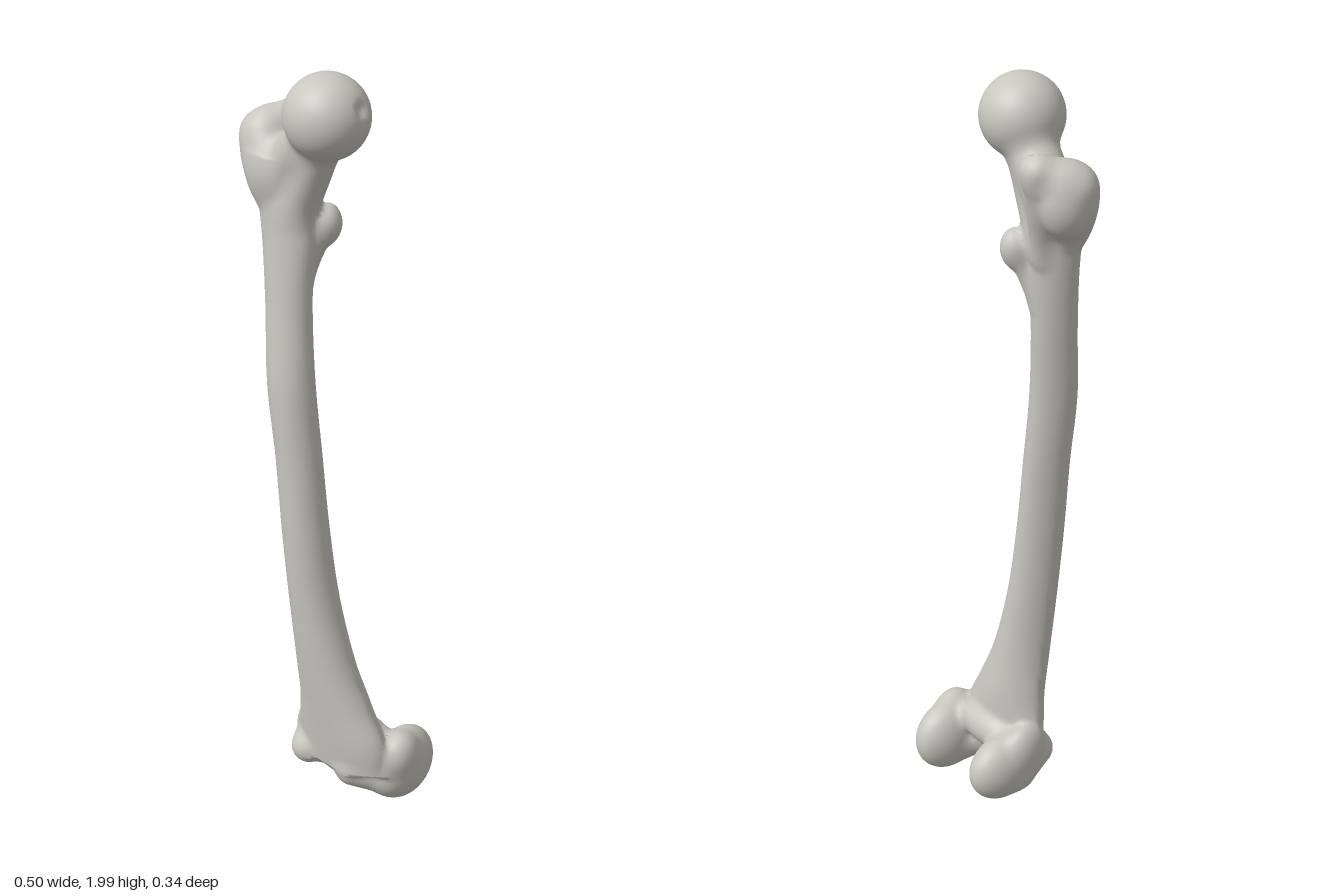
import * as THREE from 'three';
import { mergeVertices } from 'three/addons/utils/BufferGeometryUtils.js';

// ---- Distance helpers: each returns a function (x, y, z) => signed distance ----
const ellipsoid = (cx, cy, cz, rx, ry, rz) => (x, y, z) => {
  const X = (x - cx) / rx, Y = (y - cy) / ry, Z = (z - cz) / rz;
  const k0 = Math.hypot(X, Y, Z), k1 = Math.hypot(X / rx, Y / ry, Z / rz);
  return k1 < 1e-6 ? -Math.min(rx, ry, rz) : k0 * (k0 - 1) / k1;
};
const ball = (cx, cy, cz, r) => (x, y, z) => Math.hypot(x - cx, y - cy, z - cz) - r;
const capsule = (a, b, r0, r1 = r0) => {
  const d = b.map((v, i) => v - a[i]);
  const len2 = d[0] * d[0] + d[1] * d[1] + d[2] * d[2];
  return (x, y, z) => {
    const px = x - a[0], py = y - a[1], pz = z - a[2];
    const t = Math.min(1, Math.max(0, (px * d[0] + py * d[1] + pz * d[2]) / len2));
    return Math.hypot(px - t * d[0], py - t * d[1], pz - t * d[2]) - r0 - t * (r1 - r0);
  };
};
const blend = (a, b, k) => {
  const h = Math.max(0, k - Math.abs(a - b)) / k;
  return Math.min(a, b) - h * h * k / 4;
};

// ---- Shaft: oval sections, height then right, left, back and front limits ----
const sections = [
  [0.12, -0.075, 0.20, -0.03, 0.09],
  [0.20, -0.08, 0.195, -0.04, 0.10],
  [0.30, -0.068, 0.15, -0.035, 0.11],
  [0.40, -0.066, 0.11, -0.02, 0.12],
  [0.60, -0.075, 0.06, 0.0, 0.132],
  [0.80, -0.088, 0.035, 0.013, 0.14],
  [1.00, -0.105, 0.015, 0.018, 0.14],
  [1.20, -0.13, -0.005, 0.02, 0.14],
  [1.40, -0.15, -0.025, 0.008, 0.118],
  [1.60, -0.18, -0.028, -0.01, 0.10],
  [1.76, -0.215, -0.05, -0.02, 0.095],
];
const track = new THREE.CubicInterpolant(
  sections.map((s) => s[0]), sections.flatMap((s) => s.slice(1)), 4, new Float32Array(4));

function shaft(x, y, z) {
  const [x0, x1, z0, z1] = track.evaluate(Math.min(1.7599, Math.max(0.1201, y)));
  const a = (x1 - x0) / 2, b = (z1 - z0) / 2;
  const dz = (z - (z0 + z1) / 2) / b;
  // the section narrows toward the ridge at the back
  const width = a * (1 + 0.18 * Math.min(0, Math.max(-1, dz)));
  const side = (Math.hypot((x - (x0 + x1) / 2) / width, dz) - 1) * Math.min(a, b);
  return Math.max(side, y - 1.76, 0.12 - y);
}

// ---- Named parts of the bone ----
const parts = {
  shaft: [shaft],
  head: [ball(0.033, 1.897, 0.065, 0.103)],
  neck: [
    capsule([-0.12, 1.72, 0.035], [0.02, 1.88, 0.06], 0.063, 0.058),
    capsule([-0.085, 1.62, 0.04], [0.0, 1.8, 0.055], 0.048),
  ],
  greaterTrochanter: [
    ellipsoid(-0.185, 1.765, 0.02, 0.066, 0.095, 0.075),
    ellipsoid(-0.155, 1.72, 0.05, 0.06, 0.09, 0.058),
    capsule([-0.203, 1.80, 0.03], [-0.145, 1.835, -0.035], 0.046),
    capsule([-0.145, 1.80, -0.035], [-0.11, 1.60, 0.012], 0.036, 0.025),
  ],
  lesserTrochanter: [
    ellipsoid(-0.025, 1.6, -0.006, 0.033, 0.05, 0.035),
    capsule([-0.03, 1.6, 0.0], [-0.07, 1.46, 0.03], 0.03, 0.02),
  ],
  medialCondyle: [
    ellipsoid(0.18, 0.107, -0.067, 0.064, 0.1, 0.103),
    ellipsoid(0.2, 0.16, -0.03, 0.045, 0.06, 0.055),
    capsule([0.16, 0.085, -0.02], [0.10, 0.11, 0.04], 0.055, 0.05),
  ],
  lateralCondyle: [
    ellipsoid(-0.042, 0.12, -0.062, 0.063, 0.09, 0.1),
    ellipsoid(-0.066, 0.165, -0.01, 0.042, 0.07, 0.06),
    capsule([-0.05, 0.09, -0.02], [-0.04, 0.125, 0.055], 0.05, 0.047),
  ],
  kneeGroove: [
    ellipsoid(0.05, 0.13, 0.015, 0.1, 0.07, 0.055),
    ellipsoid(0.06, 0.18, -0.03, 0.11, 0.05, 0.042),
  ],
};
const names = Object.keys(parts);
// pit on the head and hollow beside the greater trochanter
const hollows = [ball(0.139, 1.935, 0.053, 0.02), ellipsoid(-0.122, 1.865, -0.012, 0.028, 0.04, 0.03)];

function distance(x, y, z) {
  let d = 1;
  for (const name of names) for (const f of parts[name]) d = blend(d, f(x, y, z), 0.022);
  for (const f of hollows) d = -blend(-d, f(x, y, z), 0.015);
  return d;
}
function nearestPart(x, y, z) {
  let best = 0, low = Infinity;
  names.forEach((name, i) => {
    for (const f of parts[name]) {
      const d = f(x, y, z);
      if (d < low) { low = d; best = i; }
    }
  });
  return best;
}

// ---- Skin the blended form with quads on a regular grid, sorted by part ----
function skin(step) {
  const min = [-0.28, -0.03, -0.2];
  const n = [0.56, 2.06, 0.4].map((s) => Math.round(s / step) + 1);
  const stride = [1, n[0], n[0] * n[1]];
  const field = new Float32Array(n[0] * n[1] * n[2]);
  const at = (i, axis) => min[axis] + i * step;
  for (let k = 0, id = 0; k < n[2]; k++)
    for (let j = 0; j < n[1]; j++)
      for (let i = 0; i < n[0]; i++) field[id++] = distance(at(i, 0), at(j, 1), at(k, 2));

  const positions = [], normals = [], owner = [], vertexOf = new Map();
  const e = 0.003;
  const gradient = (x, y, z) => new THREE.Vector3(
    distance(x + e, y, z) - distance(x - e, y, z),
    distance(x, y + e, z) - distance(x, y - e, z),
    distance(x, y, z + e) - distance(x, y, z - e)).normalize();

  // one vertex per crossed cell, pulled onto the surface
  function vertex(i, j, k) {
    const id = i + j * stride[1] + k * stride[2];
    if (vertexOf.has(id)) return vertexOf.get(id);
    const p = new THREE.Vector3(at(i + 0.5, 0), at(j + 0.5, 1), at(k + 0.5, 2));
    for (let s = 0; s < 3; s++) {
      const pull = THREE.MathUtils.clamp(distance(p.x, p.y, p.z), -step / 2, step / 2);
      p.addScaledVector(gradient(p.x, p.y, p.z), -pull);
    }
    positions.push(p.x, p.y, p.z);
    normals.push(...gradient(p.x, p.y, p.z).toArray());
    owner.push(nearestPart(p.x, p.y, p.z));
    vertexOf.set(id, owner.length - 1);
    return owner.length - 1;
  }

  const faces = names.map(() => []);
  for (let k = 1; k < n[2] - 1; k++)
    for (let j = 1; j < n[1] - 1; j++)
      for (let i = 1; i < n[0] - 1; i++) {
        const id = i + j * stride[1] + k * stride[2];
        for (let a = 0; a < 3; a++) {
          const inside = field[id] < 0;
          if (inside === field[id + stride[a]] < 0) continue;
          const b = (a + 1) % 3, c = (a + 2) % 3;
          const q = [[0, 0], [1, 0], [1, 1], [0, 1]].map(([u, v]) => {
            const cell = [i, j, k];
            cell[b] -= u;
            cell[c] -= v;
            return vertex(...cell);
          });
          if (!inside) q.reverse();
          faces[owner[q[0]]].push(q[0], q[1], q[2], q[0], q[2], q[3]);
        }
      }

  return faces.map((index) => {
    const g = new THREE.BufferGeometry();
    g.setAttribute('position', new THREE.Float32BufferAttribute(positions, 3));
    g.setAttribute('normal', new THREE.Float32BufferAttribute(normals, 3));
    g.setIndex(index);
    return mergeVertices(g.toNonIndexed());
  });
}

export function createModel() {
  const bone = new THREE.MeshStandardMaterial({ color: 0xc8c6bf });
  bone.name = 'bone';
  const model = new THREE.Group();
  model.name = 'thighBone';
  skin(0.01).forEach((geometry, i) => {
    if (!geometry.attributes.position.count) return;
    const mesh = new THREE.Mesh(geometry, bone);
    mesh.name = names[i];
    model.add(mesh);
  });
  return model;
}
